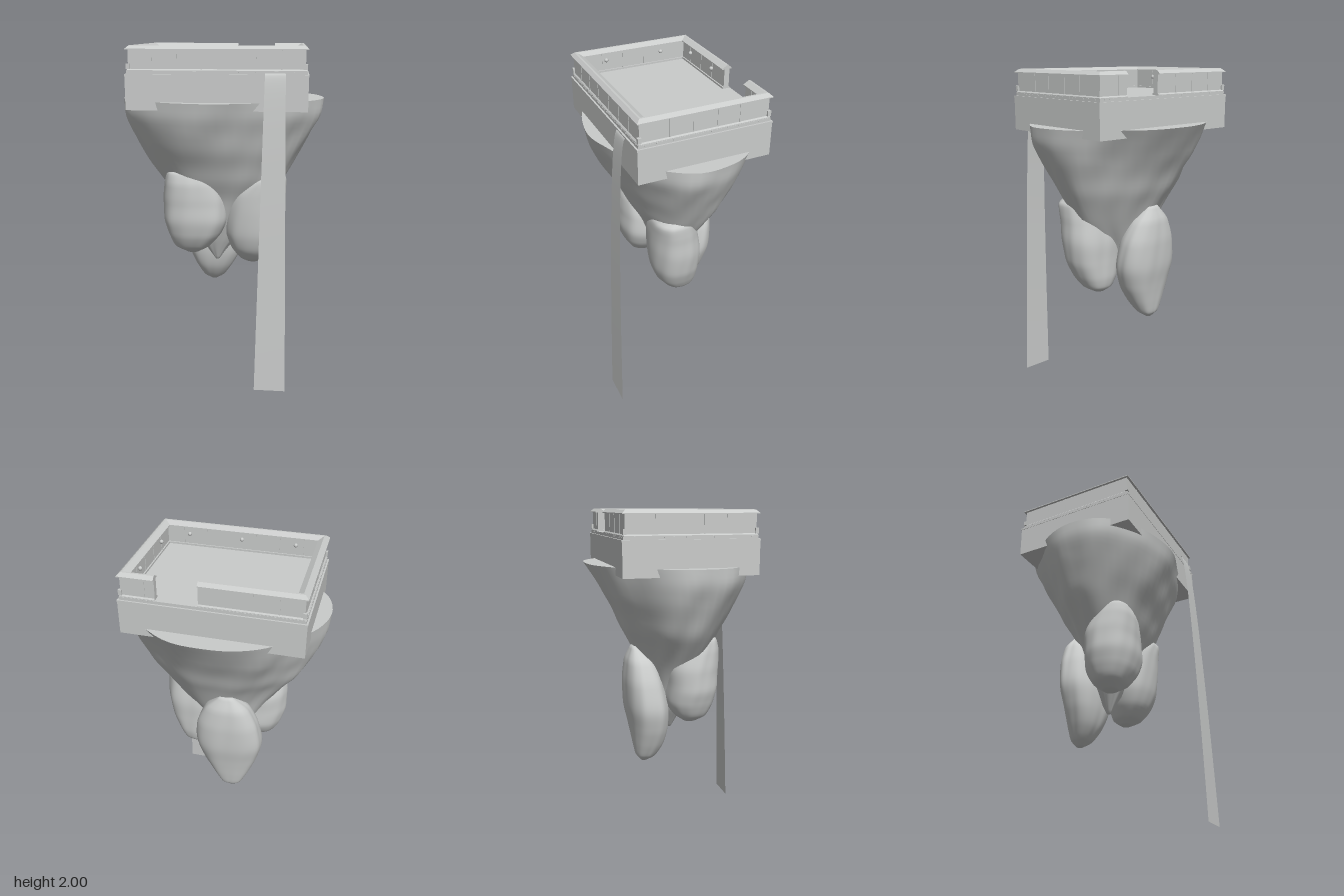
import * as THREE from 'three';

const stone = new THREE.MeshStandardMaterial({ color: 0xcacccb });
stone.name = 'greyStone';
const sheet = new THREE.MeshStandardMaterial({ color: 0xcacccb, side: THREE.DoubleSide });
sheet.name = 'greyWater';

const CX = -0.012, HX = 0.512, HZ = 0.389; // platform centre and half sizes
const GAP = [0.055, 0.29];                 // opening in the back wall

function add(group, name, geometry, material = stone) {
  const mesh = new THREE.Mesh(geometry, material);
  mesh.name = name;
  group.add(mesh);
  return mesh;
}

function box(group, name, w, h, d, x, y, z) {
  add(group, name, new THREE.BoxGeometry(w, h, d)).position.set(x, y, z);
}

function build(positions, index) {
  const g = new THREE.BufferGeometry();
  g.setAttribute('position', new THREE.Float32BufferAttribute(positions, 3));
  if (index) g.setIndex(index);
  g.computeVertexNormals();
  return g;
}

// Rock from rings [y, centreX, centreZ, radiusX, radiusZ], listed from top to bottom;
// outline holds radius factors at even angles, from +x towards +z
function rock(rings, outline, seed, rough, flatTop) {
  const centres = new THREE.CatmullRomCurve3(rings.map(r => new THREE.Vector3(r[1], r[0], r[2])));
  const radii = new THREE.CatmullRomCurve3(rings.map(r => new THREE.Vector3(r[3], r[4], 0)));
  const around = new THREE.CatmullRomCurve3(outline.map(k => new THREE.Vector3(k, 0, 0)), true, 'catmullrom');
  const rows = 36, n = 64, pos = [], idx = [];
  for (let i = 0; i <= rows; i++) {
    const c = centres.getPoint(i / rows), r = radii.getPoint(i / rows);
    const fade = rough * (flatTop ? Math.min(1, 0.3 + i / 10) : 1);
    for (let j = 0; j < n; j++) {
      const a = j / n * Math.PI * 2;
      const k = around.getPoint(j / n).x + fade * (0.5 * Math.sin(5 * a + seed + 2 * c.y)
        + 0.4 * Math.sin(8 * a - seed * 2 + 5 * c.y)
        + 0.35 * Math.sin(3 * a + seed * 3 - 9 * c.y)
        + 0.3 * Math.sin(13 * a + seed + 14 * c.y));
      pos.push(c.x + Math.cos(a) * Math.max(r.x, 0.005) * k, c.y,
        c.z + Math.sin(a) * Math.max(r.y, 0.005) * k);
    }
  }
  for (let i = 0; i < rows; i++) for (let j = 0; j < n; j++) {
    const a = i * n + j, b = i * n + (j + 1) % n;
    idx.push(a, b, a + n, b, b + n, a + n);
  }
  // Closed ends; a flat top gets its own vertices so that its edge stays sharp
  let top = 0;
  if (flatTop) {
    top = pos.length / 3;
    pos.push(...pos.slice(0, n * 3));
  }
  const first = rings[0], last = rings[rings.length - 1], mid = pos.length / 3;
  pos.push(first[1], first[0], first[2], last[1], last[0], last[2]);
  for (let j = 0; j < n; j++) {
    const k = (j + 1) % n;
    idx.push(mid, top + k, top + j, mid + 1, rows * n + j, rows * n + k);
  }
  return build(pos, idx);
}

// Mitred wall: convex profile of [inset, y], outer side upwards first, run around
// the platform from one side of the opening to the other
function rail(profile) {
  const path = [
    [GAP[1], -HZ, 0, 1], [CX + HX, -HZ, -1, 1], [CX + HX, HZ, -1, -1],
    [CX - HX, HZ, 1, -1], [CX - HX, -HZ, 1, 1], [GAP[0], -HZ, 0, 1],
  ];
  const point = (i, j) => {
    const [x, z, dx, dz] = path[i], [d, y] = profile[j % profile.length];
    return [x + dx * d, y, z + dz * d];
  };
  const pos = [], m = profile.length, end = path.length - 1;
  const tri = (a, b, c) => pos.push(...a, ...b, ...c);
  for (let i = 0; i < end; i++) for (let j = 0; j < m; j++) {
    tri(point(i, j), point(i, j + 1), point(i + 1, j));
    tri(point(i, j + 1), point(i + 1, j + 1), point(i + 1, j));
  }
  for (let j = 1; j < m - 1; j++) {
    tri(point(0, 0), point(0, j + 1), point(0, j));
    tri(point(end, 0), point(end, j), point(end, j + 1));
  }
  return build(pos);
}

// Falling sheet: shoots forward first, then widens steadily as it drops
function waterfall() {
  const rows = 24, pos = [], idx = [];
  for (let i = 0; i <= rows; i++) {
    const t = (i / rows) ** 2, w = 0.056 + 0.036 * t;
    const y = 1.853 * (1 - t), z = 0.4 + 0.1 * Math.sqrt(t);
    pos.push(0.316 - w, y, z, 0.316 + w, y, z);
    if (i < rows) idx.push(2 * i, 2 * i + 2, 2 * i + 1, 2 * i + 1, 2 * i + 2, 2 * i + 3);
  }
  return build(pos, idx);
}

export function createModel() {
  const model = new THREE.Group();
  model.name = 'floatingPlatform';

  // Hanging rock: main cone and three lobes
  const rocks = new THREE.Group();
  rocks.name = 'hangingRock';
  model.add(rocks);
  const rim = [1, 0.995, 0.96, 0.935, 0.99, 1.01, 1.045, 1.05, 0.99, 0.95, 0.945, 0.99, 1, 1.01, 0.955, 0.98];
  const boxy = [1, 1.06, 1, 1.06, 1, 1.06, 1, 1.06];
  const wide = [1, 1.05, 1, 1.07, 1, 1.05, 1, 1.13]; // fuller towards its neighbour
  add(rocks, 'mainRock', rock([
    [1.69, 0, -0.02, 0.6, 0.48], [1.6, -0.005, -0.005, 0.59, 0.44], [1.5, -0.01, 0, 0.55, 0.39],
    [1.4, -0.01, 0.005, 0.5, 0.34], [1.3, -0.008, 0, 0.45, 0.29], [1.2, 0, 0.005, 0.385, 0.24],
    [1.08, 0, 0, 0.3, 0.18], [0.94, -0.02, 0, 0.2, 0.13], [0.8, -0.04, 0, 0.12, 0.08],
    [0.72, -0.045, 0, 0.06, 0.045], [0.65, -0.045, 0, 0.012, 0.012]], rim, 1, 0.035, true));
  add(rocks, 'frontLobe', rock([
    [1.275, -0.22, 0.17, 0.05, 0.03], [1.25, -0.21, 0.155, 0.12, 0.08], [1.18, -0.19, 0.125, 0.165, 0.13],
    [1.07, -0.175, 0.1, 0.195, 0.155], [0.96, -0.17, 0.1, 0.198, 0.155], [0.86, -0.175, 0.09, 0.17, 0.145],
    [0.775, -0.19, 0.09, 0.115, 0.1], [0.73, -0.19, 0.09, 0.04, 0.04]], boxy, 2, 0.02));
  add(rocks, 'sideLobe', rock([
    [1.25, 0.29, 0.08, 0.06, 0.06], [1.21, 0.265, 0.08, 0.12, 0.115], [1.12, 0.215, 0.065, 0.17, 0.137],
    [0.98, 0.2, 0.05, 0.183, 0.147], [0.85, 0.19, 0.045, 0.172, 0.14], [0.75, 0.185, 0.03, 0.135, 0.122],
    [0.68, 0.185, 0.01, 0.09, 0.085], [0.645, 0.18, 0, 0.035, 0.03]], boxy, 4, 0.02));
  add(rocks, 'backLobe', rock([
    [1.19, -0.06, -0.225, 0.04, 0.02], [1.1, -0.06, -0.195, 0.13, 0.085], [0.97, -0.06, -0.175, 0.185, 0.115],
    [0.82, -0.065, -0.155, 0.203, 0.127], [0.68, -0.07, -0.143, 0.17, 0.114], [0.57, -0.078, -0.148, 0.118, 0.092],
    [0.49, -0.083, -0.165, 0.068, 0.06], [0.455, -0.085, -0.175, 0.02, 0.02]], wide, 6, 0.02));

  // Platform block, ledge and floor
  const platform = new THREE.Group();
  platform.name = 'platform';
  model.add(platform);
  box(platform, 'block', 2 * HX - 0.004, 0.19, 2 * HZ - 0.004, CX, 1.74, 0);
  box(platform, 'ledge', 2 * HX, 0.012, 2 * HZ, CX, 1.839, 0);
  box(platform, 'floor', 2 * HX - 0.02, 0.02, 2 * HZ - 0.02, CX, 1.852, 0);

  // Parapet: base strip, upright wall and an overhanging peaked coping
  const parapet = new THREE.Group();
  parapet.name = 'parapet';
  model.add(parapet);
  add(parapet, 'baseStrip', rail([[0.012, 1.845], [0.012, 1.866], [0.018, 1.873], [0.06, 1.873], [0.06, 1.845]]));
  add(parapet, 'wall', rail([[0.02, 1.86], [0.02, 1.985], [0.052, 1.985], [0.052, 1.86]]));
  add(parapet, 'coping', rail([[0.006, 1.977], [0.006, 1.982], [0.026, 2], [0.037, 2], [0.068, 1.982], [0.068, 1.977]]));

  // Knobs at the foot of each corner
  for (const sx of [-1, 1]) for (const sz of [-1, 1]) {
    box(parapet, 'cornerKnob', 0.02, 0.03, 0.02, CX + sx * (HX - 0.019), 1.887, sz * (HZ - 0.019));
  }

  // Slim posts on both faces of the wall and rivets along the base strip
  const inGap = x => x > GAP[0] - 0.01 && x < GAP[1] + 0.01;
  for (const s of [-1, 1]) {
    for (const inset of [0.02, 0.052]) {
      for (const t of [-0.36, -0.22, -0.08, 0.08, 0.22, 0.36]) {
        if (s > 0 || !inGap(CX + t)) box(parapet, 'post', 0.008, 0.106, 0.005, CX + t, 1.924, s * (HZ - inset));
      }
      for (const t of [-0.2, -0.07, 0.07, 0.2]) box(parapet, 'post', 0.005, 0.106, 0.008, CX + s * (HX - inset), 1.924, t);
    }
    for (let i = -15; i <= 15; i++) {
      const x = CX + i * 0.031;
      if (s > 0 || !inGap(x)) box(parapet, 'rivet', 0.006, 0.006, 0.004, x, 1.857, s * (HZ - 0.011));
      if (Math.abs(i) < 12) box(parapet, 'rivet', 0.004, 0.006, 0.006, CX + s * (HX - 0.011), 1.857, i * 0.031);
    }
  }

  // Round lamps on the inner walls
  const lamps = [[-0.355, -0.328], [-0.085, -0.328], [-0.33, 0.328], [-0.01, 0.328], [0.31, 0.328]];
  for (const x of [-0.462, 0.438]) for (const z of [-0.175, 0.18]) lamps.push([x, z]);
  for (const [x, z] of lamps) {
    add(parapet, 'wallLamp', new THREE.SphereGeometry(0.012, 10, 8)).position.set(x, 1.935, z);
  }

  add(model, 'waterfall', waterfall(), sheet);
  return model;
}
